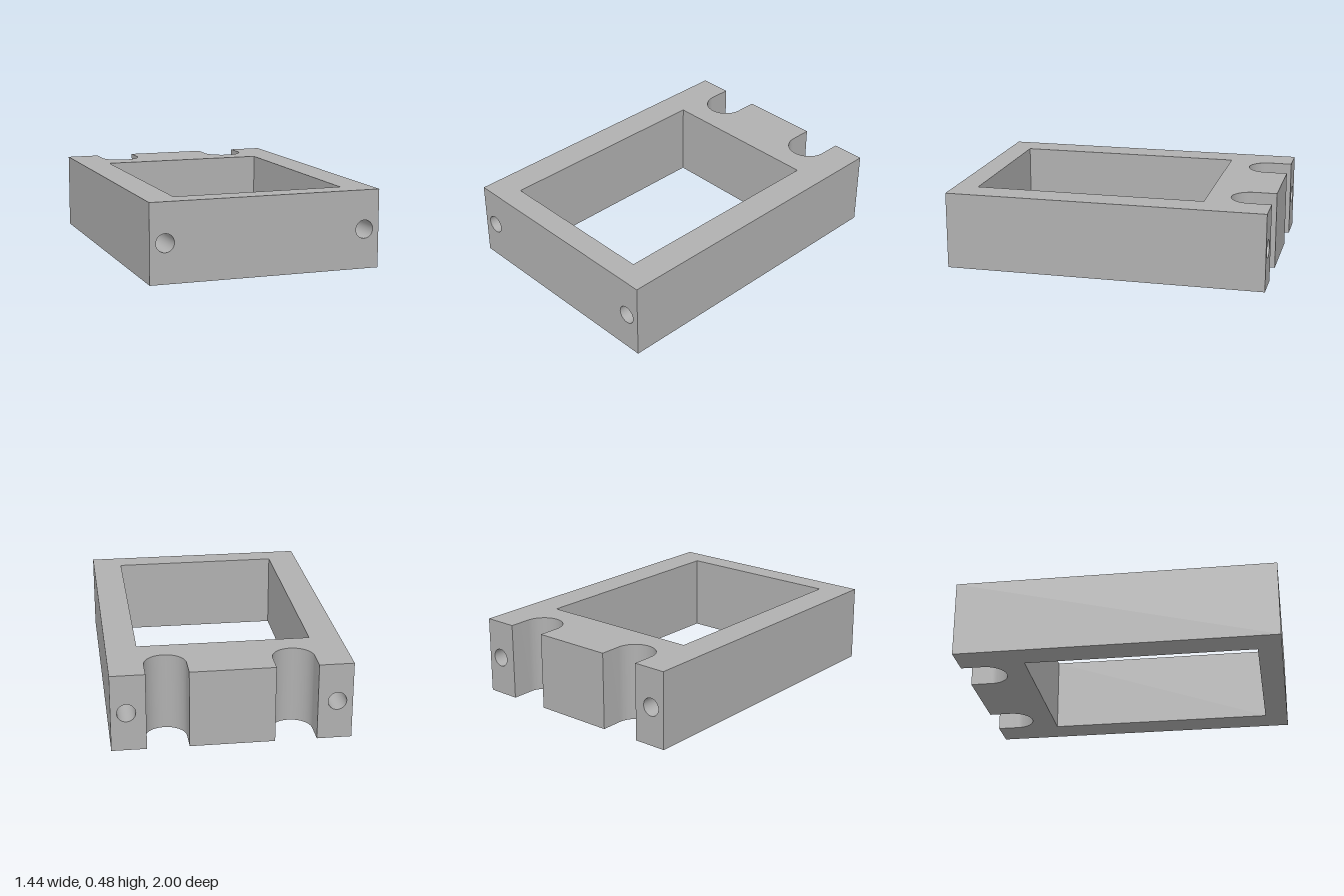
import * as THREE from 'three';
import { mergeGeometries, toCreasedNormals } from 'three/addons/utils/BufferGeometryUtils.js';

const W = 0.722, H = 0.483, L = 1;            // half width, height, half length
const SLOT_X = 0.384, SLOT_R = 0.127, SLOT_Z = 0.862;
const BORE_X = 0.628, BORE_Y = 0.242, BORE_R = 0.056;
const SLOT_OUT = SLOT_X + SLOT_R, SLOT_IN = SLOT_X - SLOT_R;

function rectangle(Type, x0, y0, x1, y1) {
  const p = new Type();
  p.moveTo(x0, y0);
  p.lineTo(x1, y0);
  p.lineTo(x1, y1);
  p.lineTo(x0, y1);
  p.closePath();
  return p;
}

// Plan outline with two round-ended slots at the back (plan y = -z)
function planShape() {
  const s = new THREE.Shape();
  s.moveTo(-W, -L);
  s.lineTo(W, -L);
  s.lineTo(W, L);
  for (const x of [SLOT_X, -SLOT_X]) {
    s.lineTo(x + SLOT_R, L);
    s.lineTo(x + SLOT_R, SLOT_Z);
    s.absarc(x, SLOT_Z, SLOT_R, 0, -Math.PI, true);
    s.lineTo(x - SLOT_R, L);
  }
  s.lineTo(-W, L);
  s.closePath();
  s.holes.push(rectangle(THREE.Path, -0.532, -0.853, 0.532, 0.59));
  return s;
}

// Remove the solid end walls that are replaced by drilled faces
function withoutDrilledEnds(geometry) {
  const p = geometry.attributes.position;
  const kept = [];
  for (let i = 0; i < p.count; i += 3) {
    const corners = [i, i + 1, i + 2];
    const front = corners.every(k => p.getZ(k) > L - 1e-4);
    const backRail = corners.every(k => p.getZ(k) < -L + 1e-4 && Math.abs(p.getX(k)) > SLOT_OUT - 1e-4);
    if (front || backRail) continue;
    for (const k of corners) kept.push(p.getX(k), p.getY(k), p.getZ(k));
  }
  const out = new THREE.BufferGeometry();
  out.setAttribute('position', new THREE.Float32BufferAttribute(kept, 3));
  return out;
}

// Flat end face with round holes at the given x positions
function drilledFace(x0, x1, holes) {
  const s = rectangle(THREE.Shape, x0, 0, x1, H);
  for (const x of holes) {
    const hole = new THREE.Path();
    hole.absarc(x, BORE_Y, BORE_R, 0, Math.PI * 2, true);
    s.holes.push(hole);
  }
  return new THREE.ShapeGeometry(s, 20).translate(0, 0, L);
}

export function createModel() {
  const group = new THREE.Group();
  group.name = 'mountingFrame';
  const grey = new THREE.MeshStandardMaterial({ color: 0xb0b0b0 });
  grey.name = 'grey';
  // Bores are seen from the inside only
  const boreGrey = grey.clone();
  boreGrey.side = THREE.BackSide;

  const add = (name, geometry, material = grey) => {
    const mesh = new THREE.Mesh(geometry, material);
    mesh.name = name;
    group.add(mesh);
    return mesh;
  };

  // Main frame with its window and slots
  const extruded = new THREE.ExtrudeGeometry(planShape(), { depth: H, bevelEnabled: false, curveSegments: 24 });
  extruded.rotateX(-Math.PI / 2);
  add('frameBody', toCreasedNormals(withoutDrilledEnds(extruded), 0.5));

  // Drilled front and rear rail ends
  add('frontFace', drilledFace(-W, W, [-BORE_X, BORE_X]));
  const rear = mergeGeometries([
    drilledFace(SLOT_OUT, W, [BORE_X]),
    drilledFace(-W, -SLOT_OUT, [-BORE_X]),
  ]).rotateY(Math.PI);
  add('rearRailEnds', rear);

  // Long bores through both side rails
  for (const [name, x] of [['leftBore', BORE_X], ['rightBore', -BORE_X]]) {
    const tube = new THREE.CylinderGeometry(BORE_R, BORE_R, 2 * L, 40, 1, true).rotateX(Math.PI / 2);
    add(name, tube, boreGrey).position.set(x, BORE_Y, 0);
  }
  return group;
}
